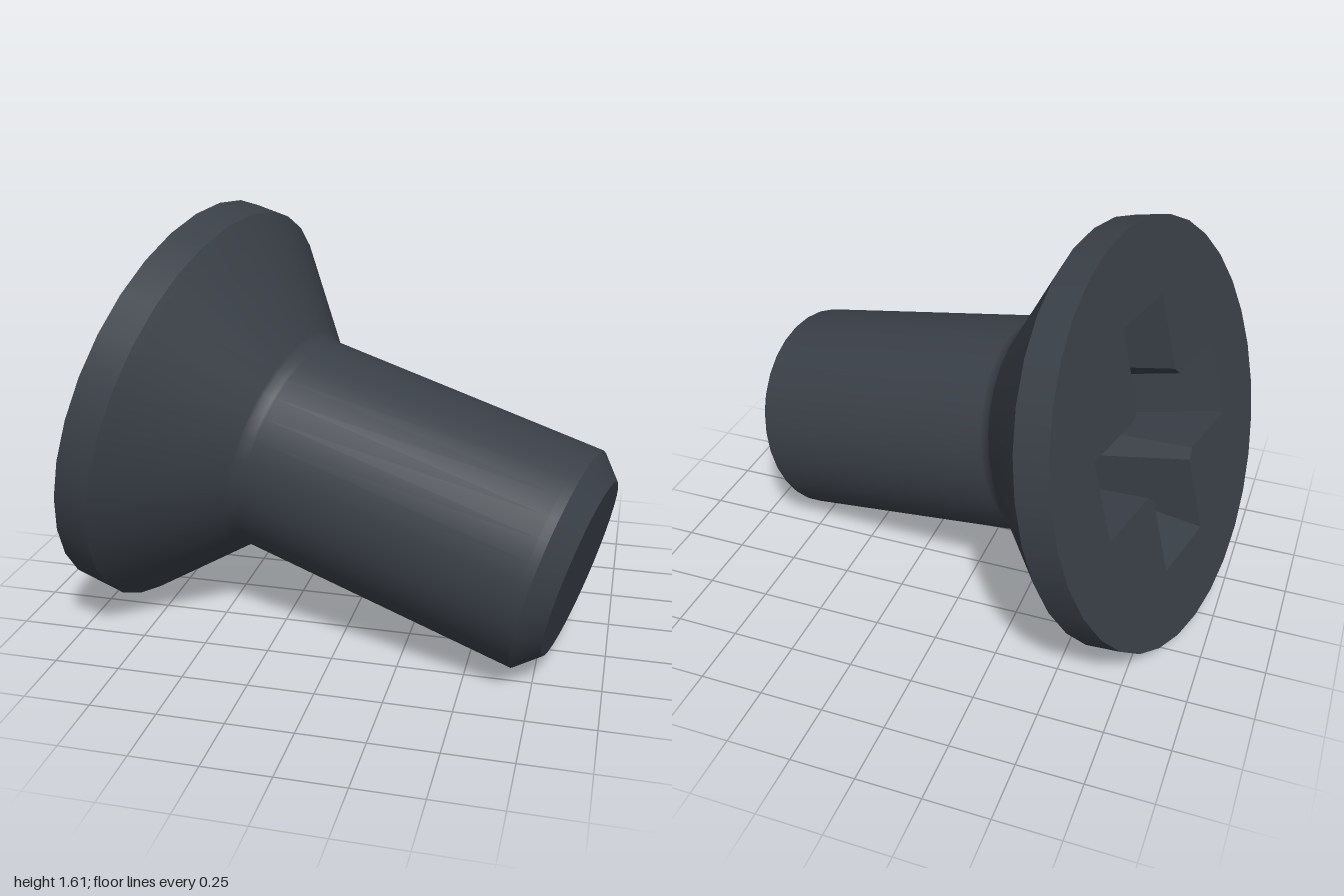
import * as THREE from 'three';

const SIDES = 32;
const HEAD_R = 0.813, SHANK_R = 0.428, END_R = 0.343;

export function createModel() {
  const steel = new THREE.MeshStandardMaterial({ color: 0x3a4048 });
  steel.name = 'dark steel';

  // Local frame: +Z points out of the head, the shank runs towards -Z.
  const screw = new THREE.Group();
  screw.name = 'countersunkScrew';

  const add = (name, geometry) => {
    const mesh = new THREE.Mesh(geometry, steel);
    mesh.name = name;
    screw.add(mesh);
  };
  // Turned part: [radius, z] pairs from the tip towards the head.
  const turned = (name, profile) => {
    const points = profile.map(([r, z]) => new THREE.Vector2(r, z));
    add(name, new THREE.LatheGeometry(points, SIDES).rotateX(Math.PI / 2));
  };

  turned('shankEnd', [[0, -1.72], [END_R, -1.72]]);
  turned('shankChamfer', [[END_R, -1.72], [SHANK_R, -1.636]]);
  // Shank blends softly into the underside of the head
  turned('shankAndHeadCone', [
    [SHANK_R, -1.636], [SHANK_R, -1.6], [SHANK_R, -0.54], [SHANK_R, -0.525],
    [SHANK_R + 0.012, -0.495], [SHANK_R + 0.025, -0.483], [HEAD_R - 0.02, -0.159], [HEAD_R, -0.14],
  ]);
  turned('headRim', [[HEAD_R, -0.14], [HEAD_R, 0]]);

  // Cross outline: arm half-length, arm half-width, cut of the inner corners
  const cross = (length, width, cut) => {
    const points = [];
    for (let k = 0; k < 4; k++) {
      for (const [x, y] of [[length, -width], [length, width], [width + cut, width], [width, width + cut]]) {
        points.push(new THREE.Vector2(x, y).rotateAround(new THREE.Vector2(), k * Math.PI / 2));
      }
    }
    return points;
  };
  const opening = cross(0.5, 0.16, 0.035);
  const bottom = cross(0.36, 0.125, 0.075);

  // Head face with the cross cut out
  const outline = Array.from({ length: SIDES }, (_, i) => {
    const a = i * 2 * Math.PI / SIDES;
    return new THREE.Vector2(HEAD_R * Math.cos(a), HEAD_R * Math.sin(a));
  });
  const face = new THREE.Shape(outline);
  face.holes.push(new THREE.Path([...opening].reverse()));
  add('headFace', new THREE.ShapeGeometry(face));

  // Tapering recess walls and a shallow pointed floor
  const corners = [];
  const floorZ = -0.45, tip = [0, 0, -0.55];
  opening.forEach((p, i) => {
    const j = (i + 1) % opening.length;
    const a = [p.x, p.y, 0], b = [opening[j].x, opening[j].y, 0];
    const c = [bottom[j].x, bottom[j].y, floorZ], d = [bottom[i].x, bottom[i].y, floorZ];
    corners.push(...a, ...b, ...c, ...a, ...c, ...d, ...d, ...c, ...tip);
  });
  const recess = new THREE.BufferGeometry();
  recess.setAttribute('position', new THREE.Float32BufferAttribute(corners, 3));
  recess.computeVertexNormals();
  add('crossRecess', recess);

  // Tilt the screw so that it rests on the head rim and the shank end
  const out = new THREE.Vector3(-0.947, 0.248, -0.204).normalize();
  const side = new THREE.Vector3(0, 1, 0).cross(out).normalize();
  const up = out.clone().cross(side);
  screw.quaternion.setFromRotationMatrix(new THREE.Matrix4().makeBasis(side, up, out));
  screw.position.set(-0.739, 0.823, -0.014);

  const model = new THREE.Group();
  model.name = 'screw';
  model.add(screw);
  return model;
}
